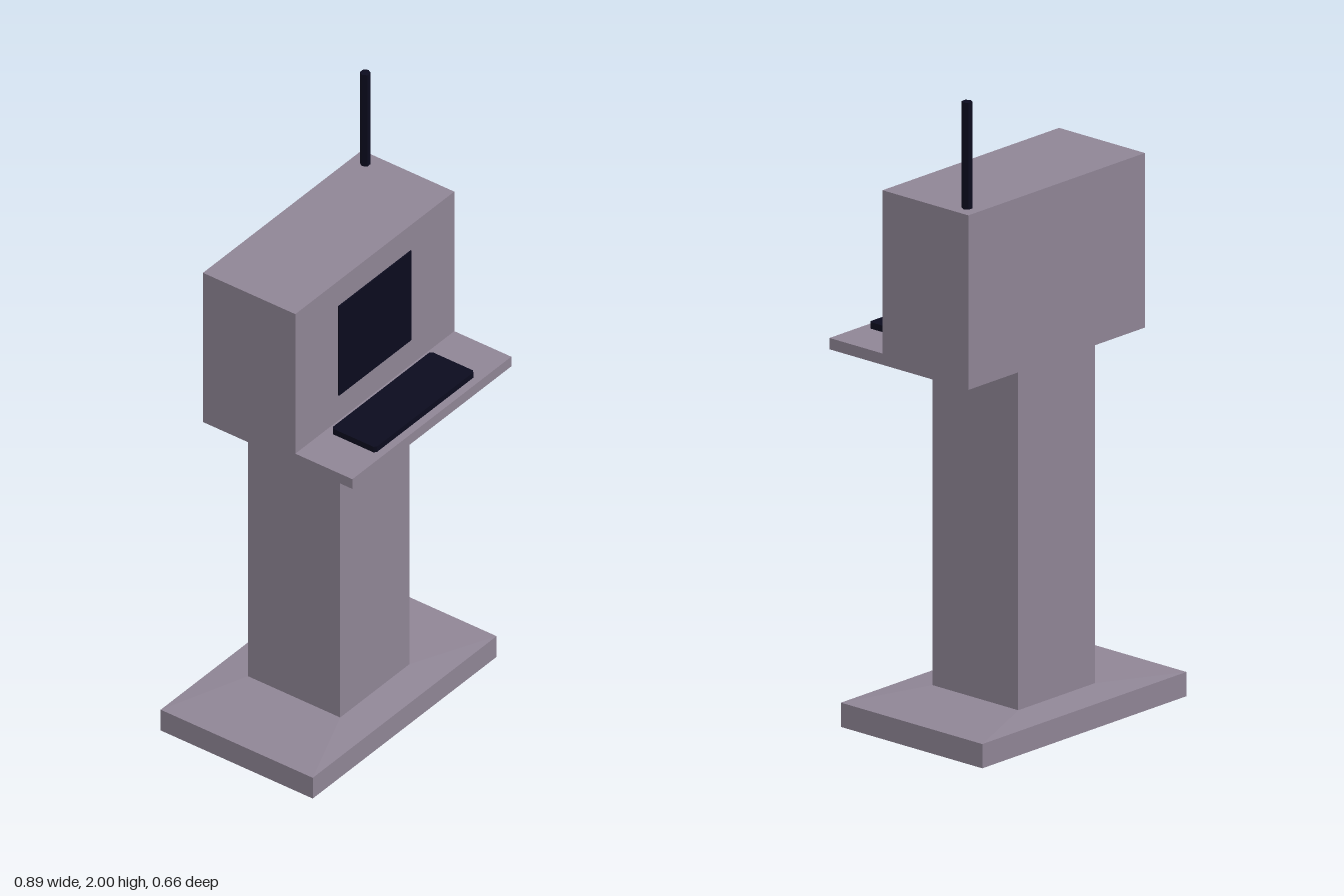
import * as THREE from 'three';

export function createModel() {
  const model = new THREE.Group();
  const casing = new THREE.MeshStandardMaterial({ color: 0x8f8595, flatShading: true });
  casing.name = 'mauve casing';
  const dark = new THREE.MeshStandardMaterial({ color: 0x0b0b1e, flatShading: true });
  dark.name = 'dark navy';

  const add = (name, geometry, material) => {
    const mesh = new THREE.Mesh(geometry, material);
    mesh.name = name;
    model.add(mesh);
    return mesh;
  };
  // Box given by its limits on each axis
  const block = (x0, x1, y0, y1, z0, z1) =>
    new THREE.BoxGeometry(x1 - x0, y1 - y0, z1 - z0)
      .translate((x0 + x1) / 2, (y0 + y1) / 2, (z0 + z1) / 2);

  // Floor plate, with a shallow slope rising to the column
  add('basePlate', block(-0.444, 0.444, 0, 0.075, -0.33, 0.23), casing);
  const slope = new THREE.BoxGeometry(0.888, 0.01, 0.56);
  const p = slope.attributes.position;
  for (let i = 0; i < p.count; i++) {
    if (p.getY(i) > 0) p.setXYZ(i, Math.sign(p.getX(i)) * 0.167, p.getY(i), Math.sign(p.getZ(i)) * 0.17);
  }
  slope.translate(0, 0.08, -0.05);
  slope.computeVertexNormals();
  add('baseSlope', slope, casing);

  // Column, cabinet and shelf
  add('column', block(-0.167, 0.167, 0.08, 1.13, -0.22, 0.12), casing);
  add('cabinet', block(-0.384, 0.384, 1.13, 1.67, -0.22, 0.12), casing);
  add('shelf', block(-0.384, 0.384, 1.13, 1.165, 0.12, 0.33), casing);

  // Screen on the cabinet front
  add('screen', block(-0.177, 0.173, 1.257, 1.58, 0.12, 0.124), dark);

  // Keyboard with clipped corners
  const w = 0.24, d = 0.081, c = 0.007;
  const outline = new THREE.Shape([
    [-w + c, -d], [w - c, -d], [w, -d + c], [w, d - c],
    [w - c, d], [-w + c, d], [-w, d - c], [-w, -d + c],
  ].map(([x, y]) => new THREE.Vector2(x, y)));
  const keys = new THREE.ExtrudeGeometry(outline, { depth: 0.02, bevelEnabled: false });
  keys.rotateX(-Math.PI / 2).translate(0, 1.165, 0.224);
  add('keyboard', keys, dark);

  // Six-sided antenna
  const rod = new THREE.CylinderGeometry(0.016, 0.016, 0.33, 6);
  rod.rotateY(Math.PI / 2).translate(0.337, 1.835, -0.172);
  add('antenna', rod, dark);

  return model;
}
